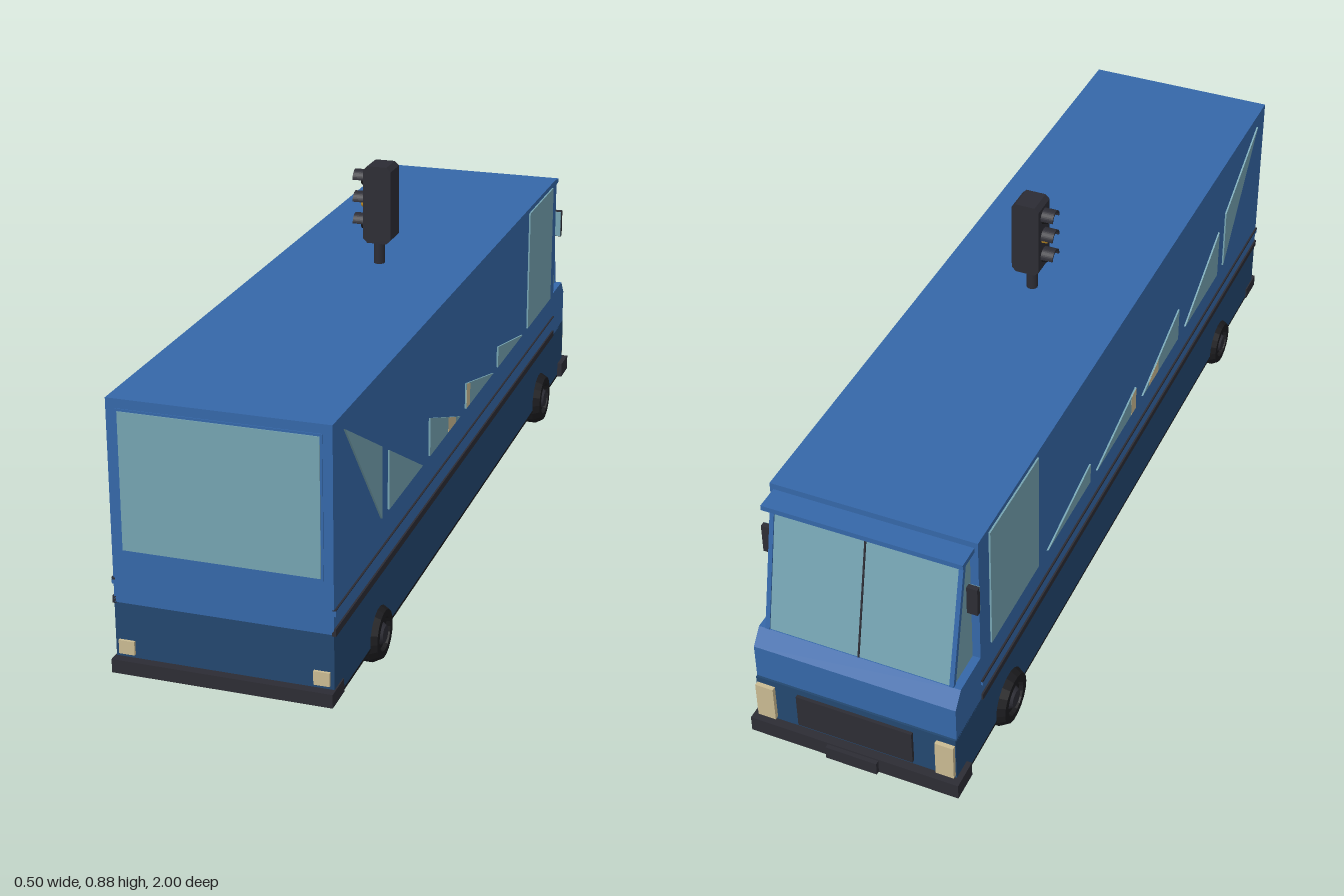
import * as THREE from 'three';

const mat = (name, color) => {
  const m = new THREE.MeshStandardMaterial({ color });
  m.name = name;
  return m;
};

export function createModel() {
  const blue = mat('body blue', 0x3567a8);
  const navy = mat('lower body navy', 0x23476f);
  const glass = mat('window glass', 0x75a3b1);
  const dark = mat('dark trim', 0x2c2c34);
  const black = mat('tyre black', 0x1b1b1e);
  const cream = mat('lamp cream', 0xc9ba92);
  const orange = mat('cone orange', 0xc8561c);
  const amber = mat('amber', 0xd9a02c);

  const model = new THREE.Group();
  model.name = 'bus';
  const add = (name, geo, material, x = 0, y = 0, z = 0) => {
    const m = new THREE.Mesh(geo, material);
    m.name = name;
    m.position.set(x, y, z);
    model.add(m);
    return m;
  };
  // Box given by its limits on each axis
  const box = (name, material, x0, x1, y0, y1, z0, z1) =>
    add(name, new THREE.BoxGeometry(x1 - x0, y1 - y0, z1 - z0), material,
      (x0 + x1) / 2, (y0 + y1) / 2, (z0 + z1) / 2);
  // Side profile of [z, y] points, extruded across x
  const profile = (name, material, pts, width, x = 0) => {
    const shape = new THREE.Shape(pts.map(([z, y]) => new THREE.Vector2(z, y)));
    const geo = new THREE.ExtrudeGeometry(shape, { depth: width, bevelEnabled: false });
    geo.rotateY(-Math.PI / 2).translate(width / 2, 0, 0);
    return add(name, geo, material, x);
  };

  // Body shell
  const W = 0.233;
  box('upperBody', blue, -W, W, 0.2, 0.64, -0.84, 0.98);
  box('lowerBody', navy, -W, W, 0.055, 0.2, -0.97, 0.98);
  box('floor', black, -W, W, 0.049, 0.055, -0.97, 0.98);
  box('underPlate', black, -0.193, 0.193, 0.04, 0.049, -0.9, 0.9);

  // Sloping cab: hood, windshield, visor
  profile('hood', blue, [[-0.84, 0.195], [-0.965, 0.195], [-0.965, 0.285], [-0.937, 0.32], [-0.84, 0.32]], 2 * W);
  profile('cabGlass', glass, [[-0.84, 0.32], [-0.935, 0.32], [-0.868, 0.616], [-0.84, 0.616]], 0.43);
  profile('windshieldDivider', dark, [[-0.93, 0.32], [-0.937, 0.32], [-0.87, 0.616], [-0.863, 0.616]], 0.004);
  box('visor', blue, -0.225, 0.225, 0.614, 0.626, -0.895, -0.84);

  // Front grille and bumpers
  box('grille', dark, -0.135, 0.135, 0.1, 0.185, -0.978, -0.96);
  box('frontBumper', dark, -0.245, 0.245, 0.05, 0.088, -0.99, -0.92);
  box('bumperPlate', dark, -0.06, 0.06, 0.052, 0.084, -1, -0.985);
  box('rearBumper', dark, -0.236, 0.236, 0.05, 0.08, 0.93, 1);

  // Rear window
  box('rearWindowFrame', blue, -0.213, 0.213, 0.314, 0.62, 0.975, 0.982);
  box('rearWindow', glass, -0.208, 0.208, 0.319, 0.615, 0.976, 0.984);

  // Side windows, [z, y] outlines
  const windows = [
    [[0.917, 0.608], [0.686, 0.32], [0.686, 0.48]],
    [[0.638, 0.453], [0.638, 0.32], [0.397, 0.32]],
    [[0.343, 0.41], [0.343, 0.32], [0.097, 0.32]],
    [[0.048, 0.383], [0.048, 0.32], [-0.198, 0.32]],
    [[-0.24, 0.373], [-0.24, 0.32], [-0.488, 0.32]],
    [[-0.54, 0.628], [-0.54, 0.32], [-0.79, 0.32], [-0.79, 0.628]],
  ];
  const curtains = [
    [[0.2, 0.357], [0.2, 0.321], [0.137, 0.321], [0.137, 0.334]],
    [[0.047, 0.382], [0.047, 0.321], [0.018, 0.321], [0.018, 0.374]],
  ];

  // Wheel with rim and hub, axle along x
  const wheel = (name, s, r, x, z, width) => {
    const g = new THREE.Group();
    g.name = name;
    const h = width / 2;
    const pts = [[0, -h], [r * 0.85, -h], [r, -h * 0.7], [r, h * 0.7], [r * 0.85, h],
      [r * 0.6, h], [r * 0.55, h * 0.85], [0, h * 0.85]].map(([a, b]) => new THREE.Vector2(a, b));
    const tyre = new THREE.Mesh(new THREE.LatheGeometry(pts, 18).toNonIndexed(), black);
    tyre.geometry.computeVertexNormals();
    tyre.name = 'tyre';
    const hub = new THREE.Mesh(new THREE.CylinderGeometry(r * 0.3, r * 0.42, h * 0.2, 12), dark);
    hub.position.y = h * 0.92;
    hub.name = 'hub';
    g.add(tyre, hub);
    g.rotation.z = -s * Math.PI / 2;
    g.position.set(s * x, r, z);
    model.add(g);
  };

  for (const s of [-1, 1]) {
    windows.forEach((p) => profile('sideWindow', glass, p, 0.008, s * W));
    curtains.forEach((p) => profile('windowCurtain', cream, p, 0.009, s * W));

    // Side mouldings
    box('lowerTrim', dark, s * W - 0.004, s * W + 0.004, 0.197, 0.213, -0.84, 0.98);
    box('upperTrim', blue, s * W - 0.004, s * W + 0.004, 0.24, 0.252, -0.84, 0.98);
    box('upperTrimLine', dark, s * W - 0.004, s * W + 0.004, 0.249, 0.254, -0.84, 0.98);
    box('amberStrip', amber, s * 0.193 - 0.003, s * 0.193 + 0.003, 0.038, 0.048, -0.6, 0.9);

    // Windshield pillars
    profile('pillar', blue, [[-0.927, 0.32], [-0.938, 0.32], [-0.871, 0.616], [-0.86, 0.616]], 0.01, s * 0.212);

    // Lamps
    box('headlight', cream, s * 0.21 - 0.021, s * 0.21 + 0.021, 0.095, 0.185, -0.98, -0.95);
    box('tailLight', cream, s * 0.208 - 0.017, s * 0.208 + 0.017, 0.088, 0.118, 0.97, 0.986);

    // Mirrors with reflective rear face
    box('mirror', dark, s * 0.232 - 0.012, s * 0.232 + 0.012, 0.475, 0.545, -0.872, -0.86);
    box('mirrorGlass', glass, s * 0.232 - 0.011, s * 0.232 + 0.011, 0.477, 0.543, -0.861, -0.857);

    // Road wheels and the smaller inner wheels
    wheel('frontWheel', s, 0.068, 0.19, -0.7, 0.12);
    wheel('rearWheel', s, 0.062, 0.19, 0.695, 0.112);
    wheel('innerWheel', s, 0.055, 0.165, 0.655, 0.06);
    wheel('innerWheel', s, 0.055, 0.165, 0.4, 0.06);
    wheel('innerWheel', s, 0.055, 0.165, -0.36, 0.06);
  }

  // Traffic light on the roof, lamps facing -x
  add('signalPole', new THREE.CylinderGeometry(0.013, 0.013, 0.07, 12), dark, 0.009, 0.67, 0);
  const face = new THREE.Shape();
  const c = 0.01, hw = 0.033, hh = 0.091;
  [[-hw + c, -hh], [hw - c, -hh], [hw, -hh + c], [hw, hh - c], [hw - c, hh], [-hw + c, hh], [-hw, hh - c], [-hw, -hh + c]]
    .forEach(([x, y], i) => (i ? face.lineTo(x, y) : face.moveTo(x, y)));
  add('signalHousing', new THREE.ExtrudeGeometry(face, { depth: 0.064, bevelEnabled: false }).translate(0, 0, -0.032),
    dark, 0.013, 0.786, 0);
  [0.735, 0.787, 0.839].forEach((y, i) => {
    const lamp = add('signalLamp', new THREE.CylinderGeometry(0.015, 0.017, 0.012, 14), i === 1 ? amber : black, -0.025, y, 0);
    lamp.rotation.z = Math.PI / 2;
    // Half-round hood above each lamp
    const ring = new THREE.Shape();
    ring.absarc(0, 0, 0.021, 0, Math.PI, false);
    ring.absarc(0, 0, 0.017, Math.PI, 0, true);
    const hood = new THREE.ExtrudeGeometry(ring, { depth: 0.03, bevelEnabled: false, curveSegments: 10 });
    add('signalHood', hood.rotateY(-Math.PI / 2), dark, -0.019, y, 0);
  });

  // Traffic cone beneath the floor
  box('coneBase', orange, -0.053, 0.053, 0, 0.008, -0.05, 0.05);
  add('cone', new THREE.CylinderGeometry(0.03, 0.042, 0.045, 20), orange, 0, 0.0285, 0);

  return model;
}
